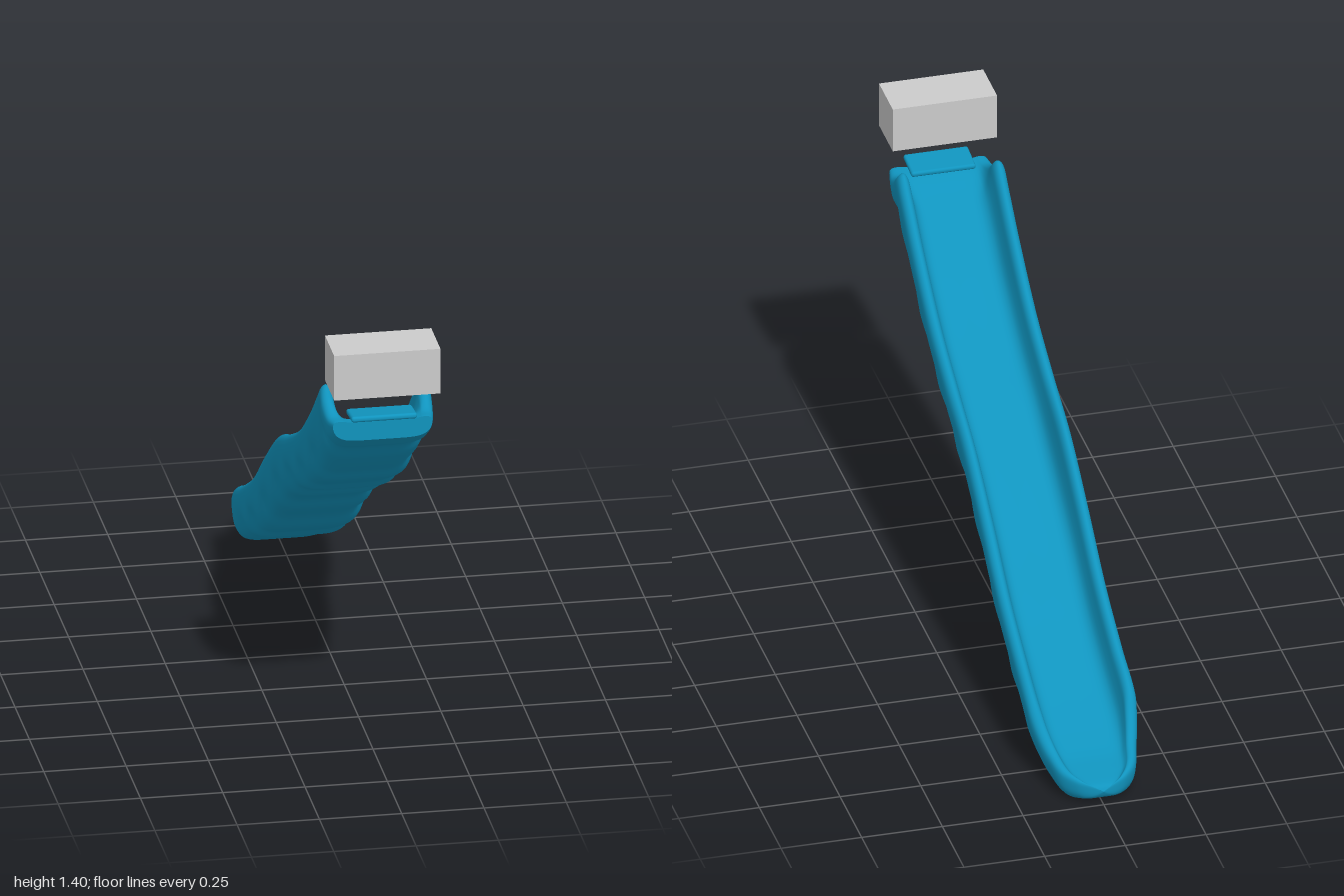
import * as THREE from 'three';
import { RoundedBoxGeometry } from 'three/addons/geometries/RoundedBoxGeometry.js';

// Stations down the slide: z, half width, rail top, bed height, underside
const STATIONS = [
  [0.92, 0.15, 1.15, 1.145, 1.085],
  [0.87, 0.16, 1.15, 1.135, 1.05],
  [0.82, 0.166, 1.175, 1.105, 1.015],
  [0.775, 0.167, 1.212, 1.07, 0.98],
  [0.72, 0.167, 1.17, 1.025, 0.935],
  [0.6, 0.167, 1.065, 0.925, 0.84],
  [0.4, 0.167, 0.915, 0.795, 0.715],
  [0.2, 0.167, 0.81, 0.695, 0.615],
  [0, 0.167, 0.72, 0.58, 0.505],
  [-0.2, 0.167, 0.58, 0.45, 0.37],
  [-0.4, 0.167, 0.425, 0.305, 0.23],
  [-0.6, 0.167, 0.31, 0.2, 0.13],
  [-0.74, 0.167, 0.24, 0.135, 0.07],
  [-0.8, 0.155, 0.18, 0.11, 0.042],
  [-0.86, 0.137, 0.13, 0.09, 0.015],
  [-0.93, 0.115, 0.1, 0.078, 0.005],
  [-0.975, 0.075, 0.082, 0.07, 0.018],
  [-0.993, 0.038, 0.068, 0.062, 0.032],
  [-1, 0, 0.05, 0.05, 0.049],
];

// Smooth interpolation of a station row at z
function stationAt(z) {
  const S = STATIONS;
  let i = 0;
  while (i < S.length - 2 && z < S[i + 1][0]) i++;
  const a = S[i], b = S[i + 1], h = b[0] - a[0], t = (z - a[0]) / h;
  const slope = (n, k) => {
    const p = S[Math.max(n - 1, 0)], q = S[Math.min(n + 1, S.length - 1)];
    return (q[k] - p[k]) / (q[0] - p[0]);
  };
  return [1, 2, 3, 4].map((k) => {
    const t2 = t * t, t3 = t2 * t;
    return (2 * t3 - 3 * t2 + 1) * a[k] + (t3 - 2 * t2 + t) * h * slope(i, k)
      + (3 * t2 - 2 * t3) * b[k] + (t3 - t2) * h * slope(i + 1, k);
  });
}

// Moulded steps on the underside: a skewed wave along the slide
function scallop(z) {
  if (z > 0.85 || z < -0.72) return 0;
  const p = (((0.74 - z) / 0.213) % 1 + 1) % 1;
  const wave = p < 0.75 ? Math.sin((p / 0.75) * Math.PI / 2) : Math.cos(((p - 0.75) / 0.25) * Math.PI / 2);
  return wave * wave * Math.min(1, (z + 0.72) / 0.1, (0.85 - z) / 0.05);
}

// Half cross-section, from the middle of the bed over the rail to the underside
const HALF = 36;
function halfSection(z) {
  const [w, r, f, b] = stationAt(z);
  const u = w / 0.167, h = r - f, H = r - b, k = scallop(z);
  const inset = 1 - 0.06 * k, lift = 0.013 * k;
  const pts = [
    [0, f], [0.055, f], [0.09, f + 0.03 * h], [0.112, f + 0.2 * h],
    [0.125, f + 0.6 * h], [0.132, f + 0.88 * h], [0.145, r], [0.158, r - 0.03 * H],
    [0.167, r - 0.13 * H], [0.167, b + 0.6 * H], [0.158 * inset, b + 0.32 * H + lift],
    [0.135 * inset, b + 0.1 * H + lift], [0.1 * inset, b + 0.015 * H + lift],
    [0.05, b + lift], [0, b + lift],
  ];
  const curve = new THREE.CatmullRomCurve3(pts.map(([x, y]) => new THREE.Vector3(x * u, y, z)), false, 'centripetal');
  return curve.getPoints(HALF);
}

function slideGeometry() {
  const rows = 200, ring = HALF * 2, pos = [], index = [];
  for (let i = 0; i <= rows; i++) {
    const t = i / rows;
    const z = THREE.MathUtils.lerp(0.92 - 1.92 * t, -0.04 + 0.96 * Math.cos(Math.PI * t), 0.6);
    const half = halfSection(z);
    half.forEach((p) => pos.push(p.x, p.y, p.z));
    for (let j = HALF - 1; j > 0; j--) pos.push(-half[j].x, half[j].y, half[j].z);
  }
  for (let i = 0; i < rows; i++) {
    for (let j = 0; j < ring; j++) {
      const a = i * ring + j, b = i * ring + (j + 1) % ring;
      index.push(a, b, a + ring, b, b + ring, a + ring);
    }
  }
  // flat upper end, with its own corners to keep the edge sharp
  const start = pos.length / 3;
  pos.push(...pos.slice(0, ring * 3), 0, 1.115, 0.92);
  for (let j = 0; j < ring; j++) index.push(start + ring, start + (j + 1) % ring, start + j);

  const g = new THREE.BufferGeometry();
  g.setAttribute('position', new THREE.Float32BufferAttribute(pos, 3));
  g.setIndex(index);
  g.computeVertexNormals();
  return g;
}

export function createModel() {
  const group = new THREE.Group();
  group.name = 'playgroundSlide';
  const blue = new THREE.MeshStandardMaterial({ color: 0x1094be });
  const grey = new THREE.MeshStandardMaterial({ color: 0xcccccc });
  const add = (name, geometry, material, x, y, z) => {
    const mesh = new THREE.Mesh(geometry, material);
    mesh.name = name;
    mesh.position.set(x, y, z);
    group.add(mesh);
    return mesh;
  };

  // Moulded chute with bed, rails and stepped underside
  add('chute', slideGeometry(), blue, 0, 0, 0);
  // Mounting lip at the top of the bed
  add('mountingLip', new RoundedBoxGeometry(0.2, 0.018, 0.1, 3, 0.008), blue, 0, 1.16, 0.902).rotation.x = -0.12;
  // Block above the entrance
  add('entranceBlock', new THREE.BoxGeometry(0.323, 0.145, 0.16), grey, 0, 1.3275, 0.92);
  return group;
}
